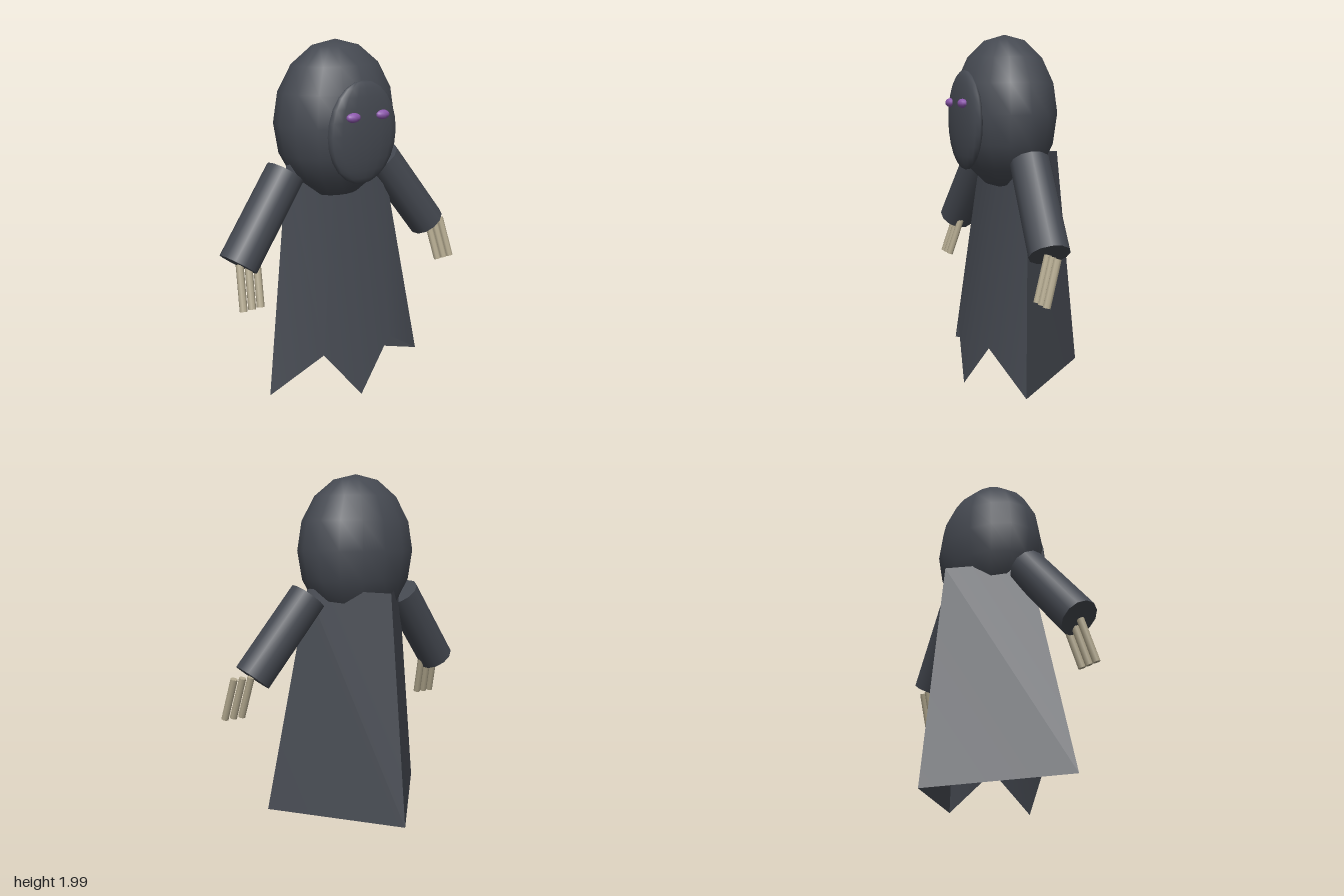
import * as THREE from 'three';

const robe = new THREE.MeshStandardMaterial({ name: 'charcoal cloth', color: 0x454951, side: THREE.DoubleSide });
const bone = new THREE.MeshStandardMaterial({ name: 'pale bone', color: 0xb3a98f });
const violet = new THREE.MeshStandardMaterial({ name: 'violet glow', color: 0x8c58ac });

const CX = -0.035; // middle of the body

function ellipsoid(name, material, [x, y, z], [rx, ry, rz], w = 16, h = 8) {
  const mesh = new THREE.Mesh(new THREE.SphereGeometry(1, w, h).scale(rx, ry, rz), material);
  mesh.name = name;
  mesh.position.set(x, y, z);
  return mesh;
}

// Cylinder running from point a to point b
function rod(name, material, a, b, radius, sides) {
  const from = new THREE.Vector3(...a);
  const dir = new THREE.Vector3(...b).sub(from);
  const mesh = new THREE.Mesh(new THREE.CylinderGeometry(radius, radius, dir.length(), sides), material);
  mesh.name = name;
  mesh.position.copy(from).addScaledVector(dir, 0.5);
  mesh.quaternion.setFromUnitVectors(new THREE.Vector3(0, 1, 0), dir.normalize());
  return mesh;
}

// Open cloth sheet from corner points and triangles
function sheet(name, points, index) {
  const geometry = new THREE.BufferGeometry();
  geometry.setAttribute('position', new THREE.Float32BufferAttribute(points.flat(), 3));
  geometry.setIndex(index);
  geometry.computeVertexNormals();
  const mesh = new THREE.Mesh(geometry, robe);
  mesh.name = name;
  return mesh;
}

function createCloak() {
  const cloak = new THREE.Group();
  cloak.name = 'cloak';
  const topR = [CX - 0.325, 1.36, 0.09], topL = [CX + 0.325, 1.36, 0.09];
  const hemR = [-0.56, 0.11, 0.2], hemL = [0.503, 0.09, 0.2];
  const topBack = [CX, 1.34, -0.255], hemBack = [CX, 0.045, -0.395];

  // Front with a ragged hem: two notches and a centre point
  cloak.add(sheet('cloakFront', [
    topR, [CX, 1.36, 0.09], topL,
    hemR, [-0.262, 0.3, 0.29], [CX, 0.01, 0.345], [0.21, 0.29, 0.29], hemL,
  ], [0, 3, 4, 0, 4, 1, 1, 4, 5, 1, 5, 6, 1, 6, 2, 2, 6, 7]));

  // Two flat panels meeting in a ridge at the back
  cloak.add(sheet('cloakBackRight', [topBack, hemBack, hemR, topR], [0, 1, 2, 0, 2, 3]));
  cloak.add(sheet('cloakBackLeft', [topL, hemL, hemBack, topBack], [0, 1, 2, 0, 2, 3]));
  return cloak;
}

export function createModel() {
  const model = new THREE.Group();
  model.name = 'hoodedFigure';

  model.add(createCloak());
  model.add(ellipsoid('hood', robe, [CX, 1.57, 0.08], [0.356, 0.43, 0.285]));
  model.add(ellipsoid('face', robe, [CX + 0.003, 1.532, 0.322], [0.225, 0.273, 0.056], 16, 12));

  for (const side of [-1, 1]) {
    const label = side < 0 ? 'right' : 'left';
    model.add(ellipsoid(label + 'Eye', violet, [CX + side * 0.095, 1.627, 0.37], [0.043, 0.025, 0.025], 12, 8));

    // Sleeve reaching down and outwards
    model.add(rod(label + 'Sleeve', robe,
      [CX + side * 0.327, 1.318, 0.08], [CX + side * 0.656, 0.885, 0.13], 0.109, 12));

    // Three thin fingers below the sleeve
    const hand = new THREE.Group();
    hand.name = label + 'Hand';
    const x = side < 0 ? -0.688 : 0.625;
    for (let i = 0; i < 3; i++) {
      const fx = x + i * 0.051;
      hand.add(rod('finger', bone, [fx, 0.887, 0.14], [fx + side * 0.026, 0.655, 0.213], 0.021, 8));
    }
    model.add(hand);
  }
  return model;
}
